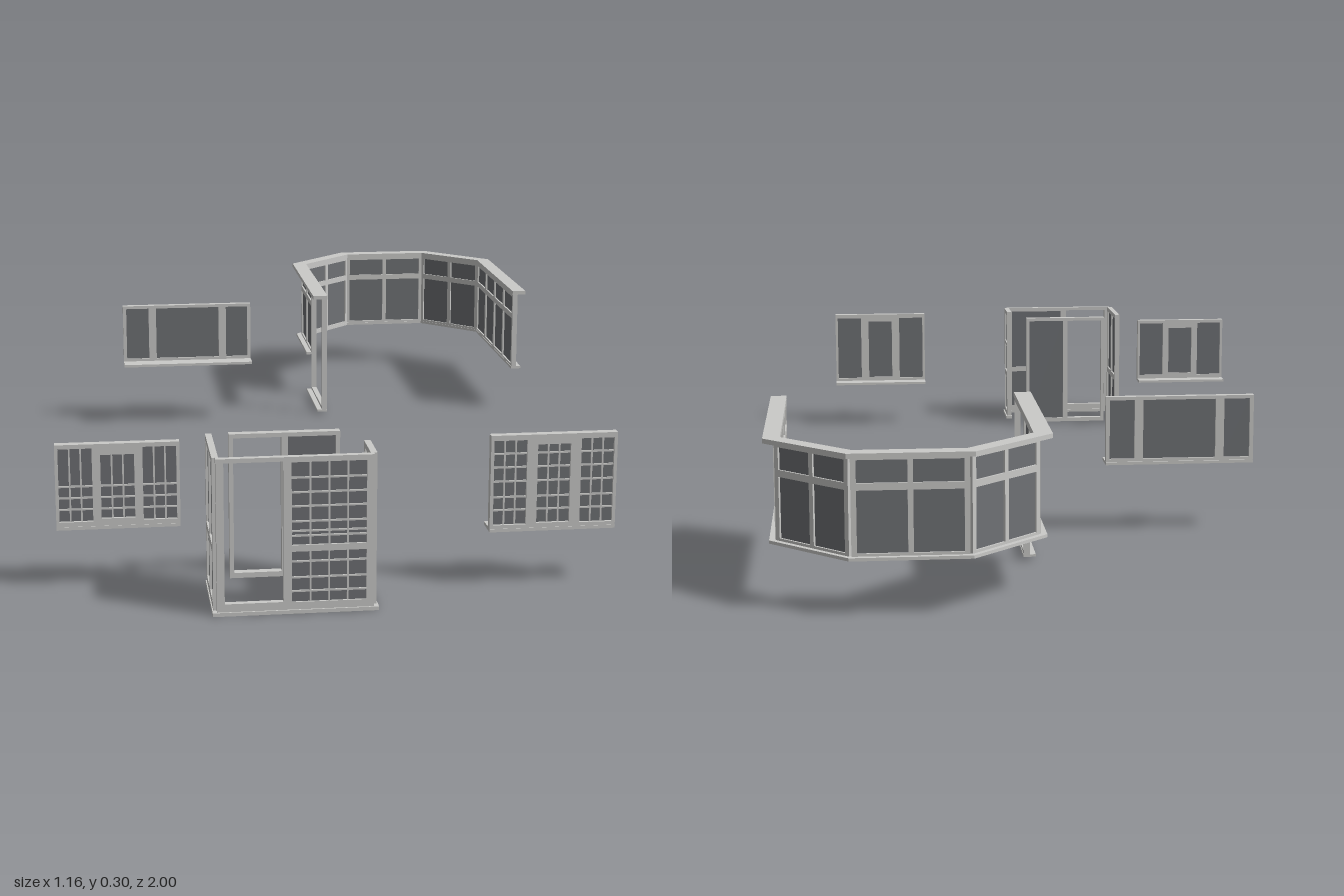
import * as THREE from 'three';

const frameMat = new THREE.MeshStandardMaterial({ name: 'pale grey frame', color: 0xcacac8 });
const glassMat = new THREE.MeshStandardMaterial({ name: 'dark grey glass', color: 0x6f7175 });

function box(parent, name, mat, x0, x1, y0, y1, z0, z1) {
  const mesh = new THREE.Mesh(new THREE.BoxGeometry(x1 - x0, y1 - y0, z1 - z0), mat);
  mesh.position.set((x0 + x1) / 2, (y0 + y1) / 2, (z0 + z1) / 2);
  mesh.name = name;
  parent.add(mesh);
}

// Closed outline from [x, y] pairs
const outline = (points) => points.map(([x, y]) => new THREE.Vector2(x, y));
const rect = (x0, x1, y0, y1) => outline([[x0, y0], [x1, y0], [x1, y1], [x0, y1]]);

// Flat plate drawn in plan as [x, z] pairs
function plate(parent, name, points, y0, y1) {
  const geo = new THREE.ExtrudeGeometry(new THREE.Shape(outline(points.map(([x, z]) => [x, -z]))),
    { depth: y1 - y0, bevelEnabled: false });
  geo.rotateX(-Math.PI / 2);
  const mesh = new THREE.Mesh(geo, frameMat);
  mesh.position.y = y0;
  mesh.name = name;
  parent.add(mesh);
}

// Upright frame from plan point a to b. Each pane is { r: [x0, x1, y0, y1], open, cols, bars },
// with x measured along the frame; bars are heights of thin bars on the outer face.
function panel(parent, name, a, b, y0, y1, panes, depth = 0.012) {
  const group = new THREE.Group();
  group.name = name;
  const dx = b[0] - a[0], dz = b[1] - a[1], width = Math.hypot(dx, dz);
  group.position.set(a[0], 0, a[1]);
  group.rotation.y = Math.atan2(-dz, dx);
  const shape = new THREE.Shape(rect(0, width, y0, y1));
  for (const { r, open, cols = 1, bars = [] } of panes) {
    shape.holes.push(new THREE.Path(rect(...r).reverse()));
    if (open) continue;
    const [l, rt, bot, top] = r;
    box(group, 'glass', glassMat, l, rt, bot, top, -0.002, 0.002);
    for (let i = 1; i < cols; i++) {
      const x = l + (rt - l) * i / cols;
      box(group, 'verticalBar', frameMat, x - 0.0016, x + 0.0016, bot, top, 0.002, 0.005);
    }
    for (const y of bars) box(group, 'horizontalBar', frameMat, l, rt, y - 0.0016, y + 0.0016, 0.002, 0.005);
  }
  const geo = new THREE.ExtrudeGeometry(shape, { depth, bevelEnabled: false });
  geo.translate(0, 0, -depth / 2);
  const frame = new THREE.Mesh(geo, frameMat);
  frame.name = 'frame';
  group.add(frame);
  parent.add(group);
}

// Even grid of panes: n columns, with rows given as [bottom, top]
function grid(width, n, rows, gap = 0.01) {
  const panes = [], pitch = (width - gap) / n;
  for (let i = 0; i < n; i++)
    for (const [bot, top] of rows) panes.push({ r: [gap + i * pitch, (i + 1) * pitch, bot, top] });
  return panes;
}

function createModel() {
  const model = new THREE.Group();
  model.name = 'windowsAndDoors';

  // Rear wide window with its ledge
  const rear = new THREE.Group();
  rear.name = 'rearWindow';
  panel(rear, 'rearWindowPanel', [-0.418, -0.4], [-0.108, -0.4], 0.148, 0.287, [
    { r: [0.008, 0.062, 0.156, 0.28] }, { r: [0.08, 0.232, 0.156, 0.28] }, { r: [0.25, 0.302, 0.156, 0.28] }], 0.014);
  box(rear, 'ledge', frameMat, -0.418, -0.108, 0.144, 0.15, -0.41, -0.354);
  model.add(rear);

  // Two front three-pane windows with barred glass
  const barred = [
    { name: 'rightFrontWindow', x: -0.58, w: 0.229, z: 0.811, sill: 0.77, y0: 0.115, y1: 0.278,
      side: [0.13, 0.27], mid: [0.135, 0.257], bars: [0.153, 0.175, 0.197] },
    { name: 'leftFrontWindow', x: 0.216, w: 0.238, z: 0.895, sill: 0.852, y0: 0.107, y1: 0.292,
      side: [0.12, 0.282], mid: [0.122, 0.273], bars: [0.148, 0.173, 0.203, 0.23, 0.256] }];
  for (const { name, x, w, z, sill, y0, y1, side, mid, bars } of barred) {
    const win = new THREE.Group();
    win.name = name;
    panel(win, name + 'Panel', [x, z], [x + w, z], y0 + 0.003, y1, [
      { r: [0.006, 0.068, ...side], cols: 3, bars },
      { r: [w / 2 - 0.031, w / 2 + 0.031, ...mid], cols: 3, bars },
      { r: [w - 0.068, w - 0.006, ...side], cols: 3, bars }], 0.016);
    box(win, 'ledge', frameMat, x, x + w, y0, y0 + 0.006, sill, z + 0.009);
    model.add(win);
  }

  // Entrance porch: glazed front with doorway, two glazed sides, sill
  const porch = new THREE.Group();
  porch.name = 'porch';
  panel(porch, 'porchFront', [-0.298, 0.991], [-0.014, 0.991], 0.006, 0.292, [
    { r: [0.014, 0.12, 0.022, 0.284], open: true },
    { r: [0.135, 0.27, 0.128, 0.282], cols: 4, bars: [0.145, 0.154, 0.172, 0.2, 0.226, 0.253] },
    { r: [0.135, 0.27, 0.021, 0.116], cols: 4, bars: [0.041, 0.067, 0.097] }]);
  const sideRows = [[0.02, 0.113], [0.127, 0.281]];
  panel(porch, 'porchRightSide', [-0.298, 0.821], [-0.298, 0.985], 0.006, 0.292, grid(0.164, 2, sideRows));
  panel(porch, 'porchLeftSide', [-0.014, 0.985], [-0.014, 0.902], 0.006, 0.292,
    grid(0.083, 1, [[0.02, 0.113], [0.127, 0.198], [0.206, 0.281]]));
  plate(porch, 'porchSill', [[-0.306, 0.82], [-0.306, 1], [-0.005, 1], [-0.005, 0.9], [-0.021, 0.9],
    [-0.021, 0.983], [-0.29, 0.983], [-0.29, 0.82]], 0, 0.007);
  panel(porch, 'innerDoorway', [-0.26, 0.81], [-0.052, 0.81], 0.008, 0.288, [
    { r: [0.008, 0.098, 0.018, 0.28], open: true },
    { r: [0.11, 0.2, 0.018, 0.28] }], 0.016);
  model.add(porch);

  // Sunroom bay: run of glazed walls with a transom row, and a doorway at one end
  const bay = new THREE.Group();
  bay.name = 'sunroomBay';
  const path = [[0.076, -0.62], [0.076, -0.84], [0.209, -0.974], [0.421, -0.974], [0.554, -0.84], [0.554, -0.401]];
  const columns = [2, 2, 2, 2, 4];
  columns.forEach((n, i) => {
    const [a, b] = [path[i], path[i + 1]];
    const width = Math.hypot(b[0] - a[0], b[1] - a[1]);
    panel(bay, 'bayWall' + (i + 1), a, b, 0.106, 0.293, grid(width, n, [[0.114, 0.229], [0.242, 0.284]]));
  });
  panel(bay, 'bayDoorway', [0.076, -0.401], [0.076, -0.62], 0.01, 0.293, [{ r: [0.008, 0.211, 0.018, 0.284], open: true }]);
  box(bay, 'doorSill', frameMat, 0.058, 0.083, 0.007, 0.012, -0.62, -0.4);

  // Cap along the top and sill along the bottom
  const inner = [[0.547, -0.4], [0.547, -0.837], [0.418, -0.967], [0.212, -0.967], [0.083, -0.837]];
  plate(bay, 'bayCap', [...inner, [0.083, -0.4], [0.048, -0.4], [0.048, -0.848],
    [0.2, -1], [0.428, -1], [0.579, -0.848], [0.579, -0.4]], 0.291, 0.3);
  plate(bay, 'baySill', [...inner, [0.083, -0.62], [0.058, -0.62], [0.058, -0.846],
    [0.203, -0.99], [0.426, -0.99], [0.571, -0.846], [0.571, -0.4]], 0.103, 0.109);
  model.add(bay);

  return model;
}

export { createModel };
